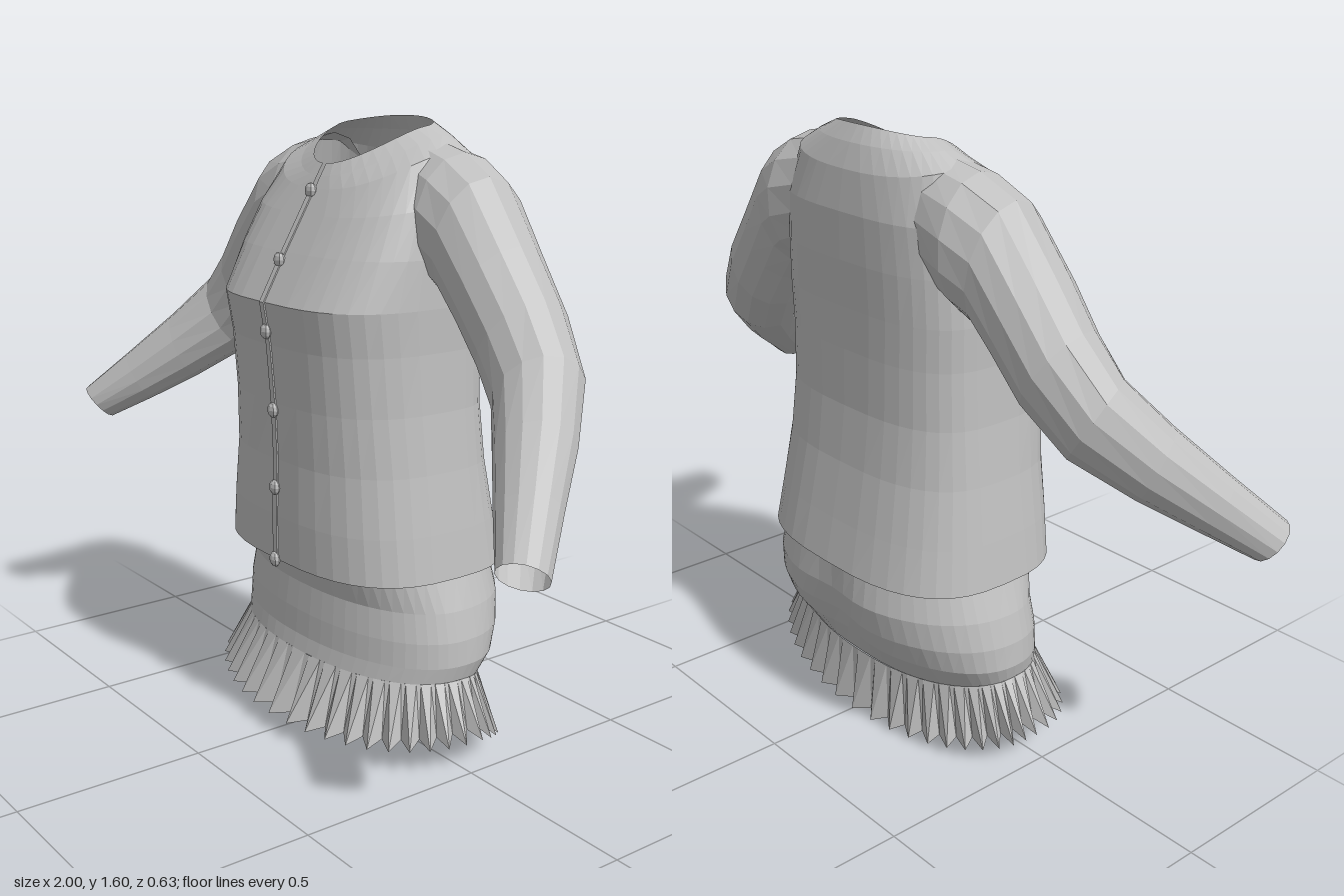
import * as THREE from 'three';

const cloth = new THREE.MeshStandardMaterial({ color: 0xc0c0c0, flatShading: true, side: THREE.DoubleSide });
cloth.name = 'greyCloth';

// Skin a list of rings (arrays of Vector3) with quads
function loft(rings, closed = true) {
  const n = rings[0].length, index = [];
  for (let i = 0; i < rings.length - 1; i++) {
    for (let j = 0; j < (closed ? n : n - 1); j++) {
      const k = (j + 1) % n, a = i * n + j, b = i * n + k, c = a + n, d = b + n;
      index.push(a, b, d, a, d, c);
    }
  }
  const g = new THREE.BufferGeometry().setFromPoints(rings.flat());
  g.setIndex(index);
  g.computeVertexNormals();
  return g;
}

function part(name, geometry) {
  const m = new THREE.Mesh(geometry, cloth);
  m.name = name;
  return m;
}

// Point on a rounded body section; angle 0 is the front, a quarter turn is the left side
function bodyPoint({ hw, yF, yS, yB, zF, zB, zS, p }, a) {
  const s = Math.sin(a), c = Math.cos(a), e = 2 / p;
  const x = hw * Math.sign(s) * Math.abs(s) ** e;
  const z = zS + (c > 0 ? zF - zS : zB - zS) * Math.abs(c) ** e;
  const y = yS + ((c > 0 ? yF : yB) - yS) * Math.abs(c) ** 1.4;
  return new THREE.Vector3(x, y, z);
}
const section = (hw, yF, yS, yB, zF, zB, zS, p) => ({ hw, yF, yS, yB, zF, zB, zS, p });
const level = (hw, y, zF, zB, p) => section(hw, y, y, y, zF, zB, -0.04, p);

// Jacket sections from hem to neckline
const JACKET = [
  level(0.39, 0.48, 0.25, -0.314, 2.8),
  level(0.375, 0.6, 0.25, -0.29, 2.8),
  level(0.355, 0.75, 0.245, -0.262, 2.8),
  level(0.34, 0.9, 0.25, -0.245, 2.9),
  level(0.335, 1.05, 0.262, -0.243, 3),
  level(0.338, 1.16, 0.28, -0.245, 3.1),
  level(0.334, 1.28, 0.213, -0.25, 3.1),
  section(0.32, 1.37, 1.4, 1.4, 0.16, -0.25, -0.07, 3),
  section(0.28, 1.43, 1.528, 1.5, 0.125, -0.235, -0.1, 2.5),
  section(0.22, 1.46, 1.56, 1.56, 0.108, -0.212, -0.105, 2.1),
  section(0.163, 1.49, 1.582, 1.6, 0.09, -0.187, -0.1, 2),
];

function jacketBody() {
  const seg = 40;
  const rings = JACKET.map(r => {
    // A narrow opening is left at the front centre
    const d = Math.asin((0.007 / r.hw) ** (r.p / 2));
    return Array.from({ length: seg + 1 }, (_, j) => bodyPoint(r, d + (2 * Math.PI - 2 * d) * j / seg));
  });
  return loft(rings, false);
}

// Strip behind the buttons, following the front of the jacket
function placket() {
  const rings = JACKET.slice(0, 9).map(({ yF: y, zF: z }) =>
    [[-1, 1], [1, 1], [1, -1], [-1, -1]].map(([x, k]) => new THREE.Vector3(x * 0.009, y, z + k * 0.004)));
  return loft(rings);
}

function frontZ(y) {
  const i = Math.max(1, JACKET.findIndex(r => r.yF >= y));
  const a = JACKET[i - 1], b = JACKET[i];
  return a.zF + (b.zF - a.zF) * (y - a.yF) / (b.yF - a.yF);
}

// Sleeve rings: upper edge x y z, lower edge x y z, half depth
const SLEEVE = [
  [0.22, 1.55, -0.1, 0.26, 1.22, -0.085, 0.125],
  [0.325, 1.528, -0.092, 0.32, 1.19, -0.085, 0.14],
  [0.43, 1.478, -0.078, 0.36, 1.165, -0.078, 0.131],
  [0.55, 1.33, -0.07, 0.42, 1.105, -0.07, 0.125],
  [0.64, 1.215, -0.067, 0.5, 1.01, -0.062, 0.118],
  [0.73, 1.105, -0.043, 0.59, 0.915, -0.025, 0.107],
  [0.82, 0.985, 0.05, 0.7, 0.826, 0.08, 0.092],
  [0.91, 0.865, 0.162, 0.8, 0.752, 0.177, 0.074],
  [0.995, 0.752, 0.27, 0.9, 0.686, 0.265, 0.06],
];

function sleeve(side) {
  const rows = SLEEVE.map(([ax, ay, az, bx, by, bz, depth]) => {
    const a = new THREE.Vector3(side * ax, ay, az), b = new THREE.Vector3(side * bx, by, bz);
    return { mid: a.clone().add(b).multiplyScalar(0.5), up: a.clone().sub(b).multiplyScalar(0.5), depth };
  });
  const rings = rows.map(({ mid, up, depth }, i) => {
    const along = rows[Math.min(i + 1, rows.length - 1)].mid.clone().sub(rows[Math.max(i - 1, 0)].mid);
    const out = along.cross(up).normalize().multiplyScalar(depth);
    return Array.from({ length: 14 }, (_, j) => {
      const t = j / 14 * Math.PI * 2;
      return mid.clone().addScaledVector(up, Math.cos(t)).addScaledVector(out, Math.sin(t));
    });
  });
  return loft(rings);
}

// Skirt sections from ruffle seam to waist
const SEAM = section(0.42, 0.22, 0.218, 0.178, 0.2, -0.215, -0.03, 2.2);
const SKIRT = [
  SEAM,
  level(0.432, 0.26, 0.19, -0.272, 2.2),
  level(0.428, 0.325, 0.185, -0.304, 2.2),
  level(0.41, 0.4, 0.176, -0.32, 2.2),
  level(0.38, 0.48, 0.2, -0.304, 2.3),
  level(0.35, 0.56, 0.18, -0.265, 2.4),
];

function skirt() {
  const dent = [0.004, 0.024, 0.03, 0.022, 0.006, 0];
  return loft(SKIRT.map((r, i) => Array.from({ length: 60 }, (_, j) => {
    const v = bodyPoint(r, j / 60 * Math.PI * 2);
    // Soft hollow down the centre of the back
    if (v.z < 0) v.z += dent[i] * Math.exp(-((v.x / 0.1) ** 2));
    return v;
  })));
}

// Pleated ruffle: even at the seam, with sawtooth folds at the lower edge
function ruffle() {
  const pleats = 44;
  const outer = section(0.508, 0.05, 0.085, 0.0, 0.282, -0.24, -0.03, 2.1);
  const inner = section(0.462, 0.062, 0.1, 0.014, 0.245, -0.215, -0.03, 2.1);
  const ring = pick => Array.from({ length: pleats * 2 }, (_, j) =>
    bodyPoint(pick(j), (Math.floor(j / 2) + (j % 2) * 0.7) / pleats * Math.PI * 2));
  return loft([ring(j => (j % 2 ? inner : outer)), ring(() => SEAM)]);
}

export function createModel() {
  const model = new THREE.Group();
  model.name = 'jacketAndSkirt';
  model.add(part('jacketBody', jacketBody()), part('placket', placket()));
  model.add(part('leftSleeve', sleeve(1)), part('rightSleeve', sleeve(-1)));
  model.add(part('skirt', skirt()), part('ruffle', ruffle()));

  // Buttons down the front
  const buttonShape = new THREE.SphereGeometry(0.02, 8, 6);
  for (const y of [1.425, 1.26, 1.085, 0.88, 0.675, 0.48]) {
    const b = part('button', buttonShape);
    b.position.set(0, y, frontZ(y) + 0.004);
    b.scale.z = 0.6;
    model.add(b);
  }
  return model;
}
